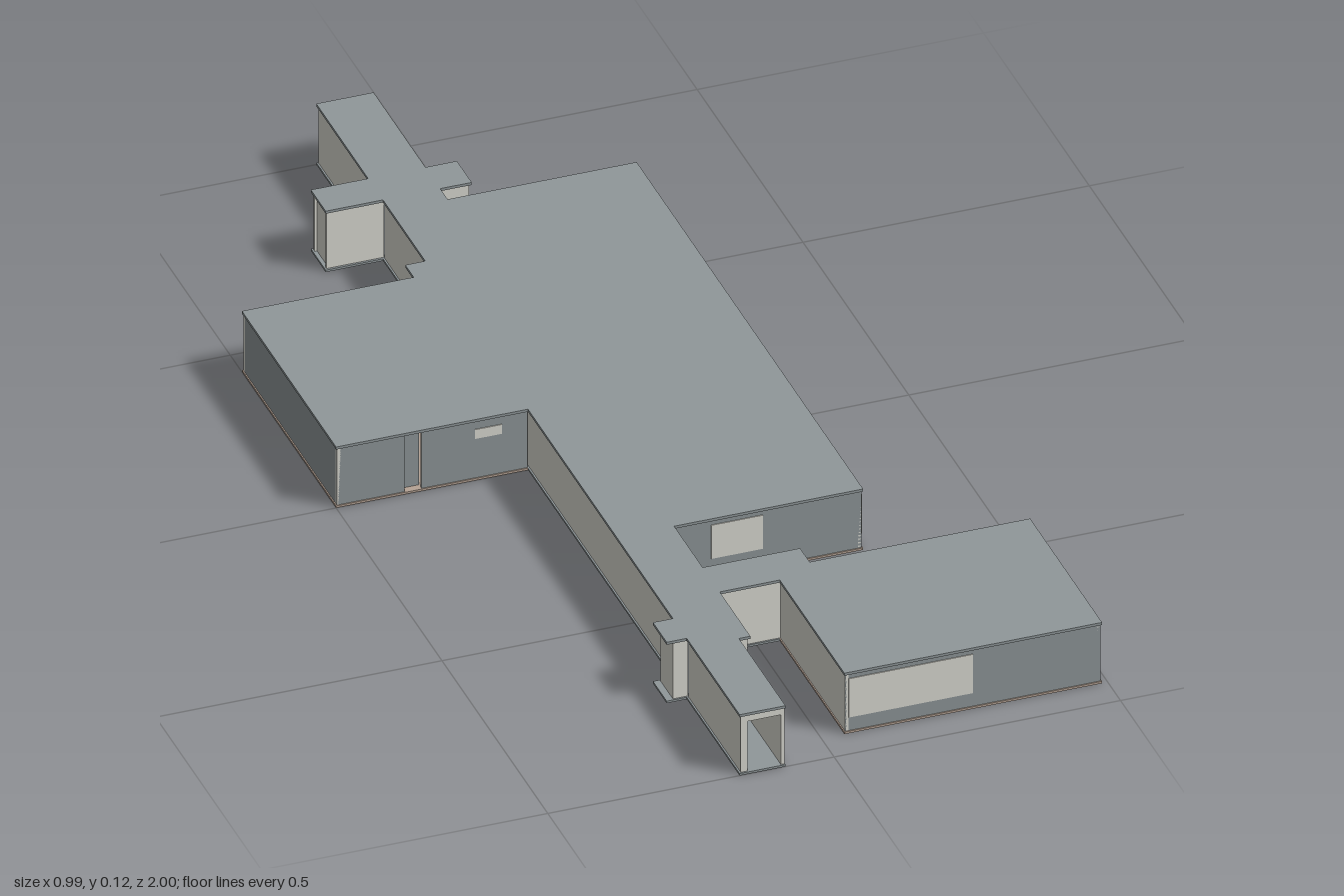
import * as THREE from 'three';

const H = 0.113, ROOF = 0.118, T = 0.006;

export function createModel() {
  const root = new THREE.Group();
  root.name = 'singleStoreyBuilding';
  const mat = (name, color) => {
    const m = new THREE.MeshStandardMaterial({ color });
    m.name = name;
    return m;
  };
  const grey = mat('slateGrey', 0x90989a);
  const light = mat('paleWall', 0xdddcd4);
  const tan = mat('tanFloor', 0xb5a294);

  const group = (name) => {
    const g = new THREE.Group();
    g.name = name;
    root.add(g);
    return g;
  };
  const box = (parent, name, x0, x1, y0, y1, z0, z1, material) => {
    const m = new THREE.Mesh(new THREE.BoxGeometry(x1 - x0, y1 - y0, z1 - z0), material);
    m.position.set((x0 + x1) / 2, (y0 + y1) / 2, (z0 + z1) / 2);
    m.name = name;
    parent.add(m);
  };
  // Wall running clockwise in plan: outer face on the given line, thickness inwards
  const wall = (parent, name, x0, z0, x1, z1, outer = light, y0 = 0.003, y1 = H) => {
    const nx = Math.sign(z1 - z0), nz = -Math.sign(x1 - x0);
    const mats = Array(6).fill(light);
    mats[nx > 0 ? 0 : nx < 0 ? 1 : nz > 0 ? 4 : 5] = outer;
    const xs = [x0, x1, x0 - nx * T, x1 - nx * T], zs = [z0, z1, z0 - nz * T, z1 - nz * T];
    box(parent, name, Math.min(...xs), Math.max(...xs), y0, y1, Math.min(...zs), Math.max(...zs), mats);
  };

  // Roof slabs and floors share the same plan: x0, x1, z0, z1
  const plan = {
    mainHall: [-0.065, 0.265, -0.65, 0.42, tan],
    westRoom: [-0.5, -0.165, -0.445, 0, tan],
    southEastRoom: [0.04, 0.49, 0.6, 0.94, tan],
    corridor: [-0.165, -0.065, -1, 0.78, grey],
    corridorSouthEnd: [-0.165, -0.085, 0.78, 1, grey],
    crossArmWest: [-0.265, -0.165, -0.755, -0.685, grey],
    crossArmEast: [-0.065, -0.01, -0.755, -0.685, grey],
    linkPassage: [-0.065, 0.04, 0.555, 0.635, grey],
    linkEnd: [0.04, 0.105, 0.555, 0.6, grey],
    northNiche: [-0.2, -0.165, -0.485, -0.445, grey],
    southNiche: [-0.2, -0.165, 0.685, 0.75, grey],
  };
  const roofs = group('roofs'), floors = group('floors');
  for (const [name, [x0, x1, z0, z1, floor]] of Object.entries(plan)) {
    box(roofs, name + 'Roof', x0, x1, H, ROOF, z0, z1, grey);
    box(floors, name + 'Floor', x0, x1, 0, 0.004, z0, z1, floor);
  }

  // Main hall with partitions and doorways to the corridor
  const hall = group('mainHall');
  wall(hall, 'northWall', -0.065, -0.648, 0.263, -0.648, grey);
  wall(hall, 'eastWall', 0.263, -0.648, 0.263, 0.418, grey);
  wall(hall, 'southWall', 0.263, 0.418, -0.065, 0.418, grey);
  for (const z of [-0.3, 0.06]) wall(hall, 'partition', 0.257, z, -0.065, z);
  for (const [a, b] of [[0.418, 0.2], [0.15, -0.06], [-0.11, -0.42], [-0.47, -0.648]])
    wall(hall, 'corridorSideWall', -0.068, a, -0.068, b);

  // West room with a recessed door slot in the front
  const west = group('westRoom');
  wall(west, 'northWall', -0.498, -0.443, -0.165, -0.443, grey);
  wall(west, 'westWall', -0.498, -0.002, -0.498, -0.443, grey);
  wall(west, 'southWallRight', -0.165, -0.002, -0.35, -0.002, grey);
  wall(west, 'southWallLeft', -0.38, -0.002, -0.498, -0.002, grey);
  wall(west, 'doorPanel', -0.35, -0.014, -0.38, -0.014, grey);

  // South-east room, open at the outer end of its north side
  const se = group('southEastRoom');
  wall(se, 'southWall', 0.488, 0.938, 0.042, 0.938, grey);
  wall(se, 'westWall', 0.042, 0.938, 0.042, 0.63);
  wall(se, 'northWall', 0.105, 0.608, 0.38, 0.608);
  box(se, 'northPost', 0.374, 0.386, 0.003, H, 0.602, 0.62, light);
  wall(se, 'eastWallBack', 0.486, 0.602, 0.486, 0.805, grey);
  wall(se, 'doorPanel', 0.474, 0.805, 0.474, 0.832, grey);
  wall(se, 'eastWallFront', 0.488, 0.832, 0.488, 0.938, grey);

  // Corridor outer walls, broken by niches, arms and the link
  const cor = group('corridorWalls');
  for (const [a, b] of [[0.997, 0.75], [0.685, -0.06], [-0.11, -0.445], [-0.485, -0.685], [-0.755, -0.997]])
    wall(cor, 'westWall', -0.162, a, -0.162, b);
  for (const [a, b] of [[-0.997, -0.755], [-0.685, -0.65], [0.42, 0.555], [0.635, 0.778]])
    wall(cor, 'eastWall', -0.069, a, -0.069, b);
  wall(cor, 'southEndEastWall', -0.086, 0.772, -0.086, 0.997);
  wall(cor, 'southEndStep', -0.069, 0.778, -0.086, 0.778);

  // Open end frames
  for (const [z, x1] of [[0.99, -0.086], [-0.997, -0.069]]) {
    box(cor, 'endLintel', -0.162, x1, 0.1, H, z, z + 0.007, light);
    box(cor, 'endPost', -0.162, -0.15, 0.003, H, z, z + 0.007, light);
  }

  // Cross arms
  const arms = group('crossArms');
  wall(arms, 'westArmNorthWall', -0.262, -0.751, -0.162, -0.751);
  wall(arms, 'westArmSouthWall', -0.162, -0.689, -0.262, -0.689);
  wall(arms, 'westArmEnd', -0.258, -0.689, -0.258, -0.751);
  wall(arms, 'eastArmNorthWall', -0.069, -0.751, -0.013, -0.751);
  wall(arms, 'eastArmSouthWall', -0.013, -0.689, -0.069, -0.689);
  wall(arms, 'eastArmEnd', -0.015, -0.751, -0.015, -0.689);

  // Side niches
  const niches = group('niches');
  for (const [z0, z1] of [[-0.482, -0.443], [0.688, 0.747]]) {
    wall(niches, 'nicheNorthWall', -0.188, z0, -0.162, z0);
    wall(niches, 'nicheSouthWall', -0.162, z1, -0.188, z1);
    wall(niches, 'nicheEnd', -0.188, z1, -0.188, z0);
  }

  // Link to the south-east room
  const link = group('linkPassage');
  wall(link, 'northWall', -0.069, 0.559, 0.102, 0.559);
  wall(link, 'eastWall', 0.102, 0.559, 0.102, 0.608);
  wall(link, 'southWall', 0.044, 0.632, -0.069, 0.632);

  // Windows as thin plates on the outer faces
  const win = group('windows');
  const P = 0.0015;
  for (const [z0, z1, y0, y1] of [[0.2, 0.416, 0.03, 0.105], [-0.23, -0.06, 0.05, 0.108], [-0.565, -0.405, 0.05, 0.108]])
    box(win, 'hallEastWindow', 0.263, 0.263 + P, y0, y1, z0, z1, light);
  box(win, 'hallSouthWindow', 0, 0.09, 0.04, 0.105, 0.418, 0.418 + P, light);
  box(win, 'southEastFrontWindow', 0.048, 0.265, 0.03, 0.105, 0.938, 0.938 + P, light);
  box(win, 'southEastSideWindow', 0.486, 0.486 + P, 0.08, 0.099, 0.66, 0.71, light);
  box(win, 'westFrontWindow', -0.257, -0.21, 0.08, 0.098, -0.002, -0.002 + P, light);
  box(win, 'westBackWindow', -0.3, -0.2, 0.04, 0.1, -0.443 - P, -0.443, light);

  return root;
}
